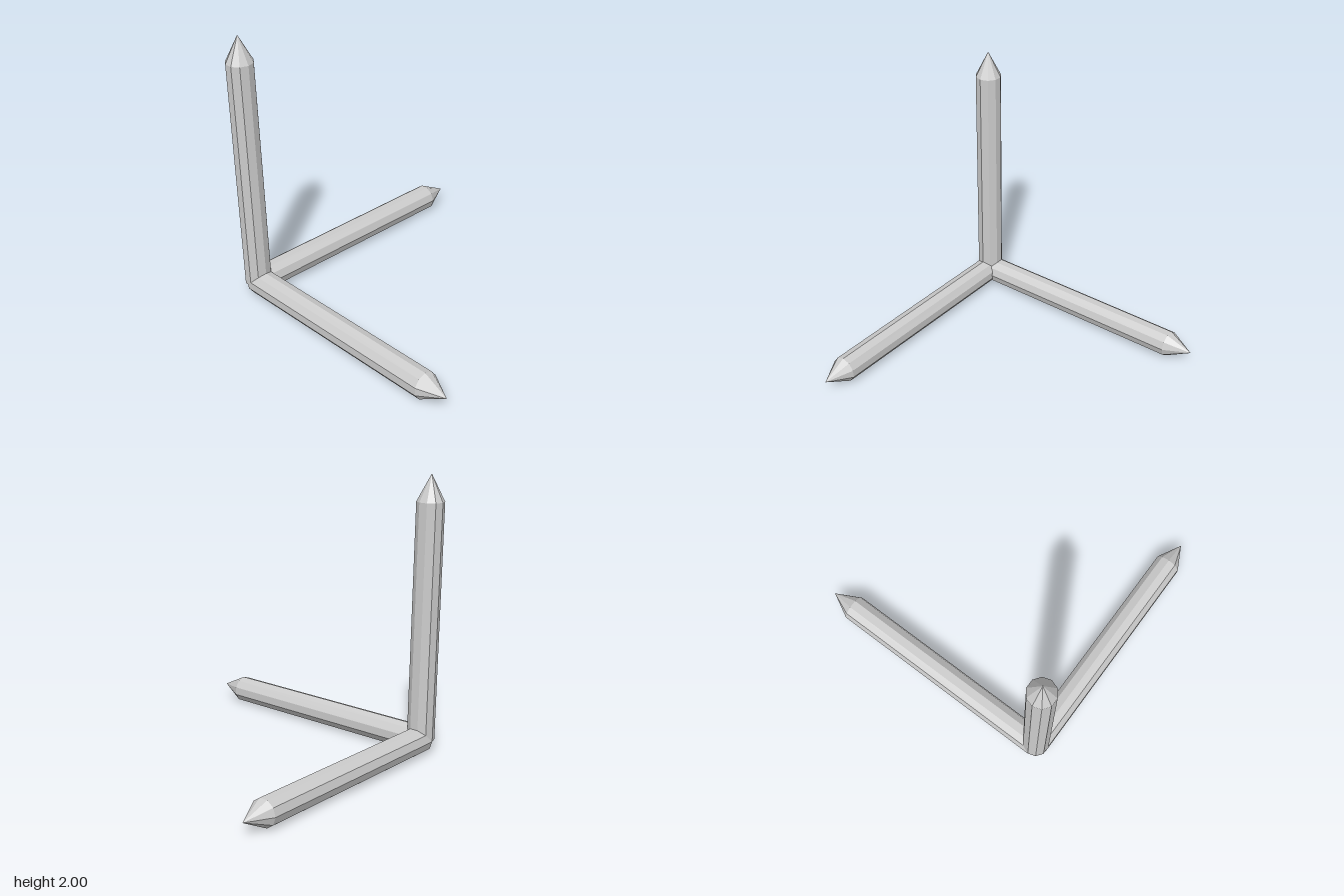
import * as THREE from 'three';

const SIDES = 10;
const RADIUS = 0.0975;
const SHAFT = 1.7125;
const TIP = 0.19;

export function createModel() {
  const material = new THREE.MeshStandardMaterial({ color: 0xcccccc, flatShading: true });

  // Ten-sided shaft and pointed tip, growing up from the shared corner
  const shaftGeometry = new THREE.CylinderGeometry(RADIUS, RADIUS, SHAFT, SIDES)
    .rotateY(Math.PI / 2)
    .translate(0, SHAFT / 2, 0);
  const tipGeometry = new THREE.ConeGeometry(RADIUS, TIP, SIDES)
    .rotateY(Math.PI / 2)
    .translate(0, SHAFT + TIP / 2, 0);

  function makeArrow(name, rotX, rotZ) {
    const arrow = new THREE.Group();
    arrow.name = name;
    const shaft = new THREE.Mesh(shaftGeometry, material);
    shaft.name = name + 'Shaft';
    const tip = new THREE.Mesh(tipGeometry, material);
    tip.name = name + 'Tip';
    arrow.add(shaft, tip);
    arrow.rotation.set(rotX, 0, rotZ);
    return arrow;
  }

  // Three arrows at right angles: up, to the left side and to the back
  const model = new THREE.Group();
  model.name = 'axisArrows';
  const arrows = new THREE.Group();
  arrows.name = 'arrows';
  arrows.add(
    makeArrow('upArrow', 0, 0),
    makeArrow('sideArrow', 0, -Math.PI / 2),
    makeArrow('backArrow', -Math.PI / 2, 0)
  );
  arrows.position.set(RADIUS - 1, RADIUS, 0.905);
  model.add(arrows);
  return model;
}
